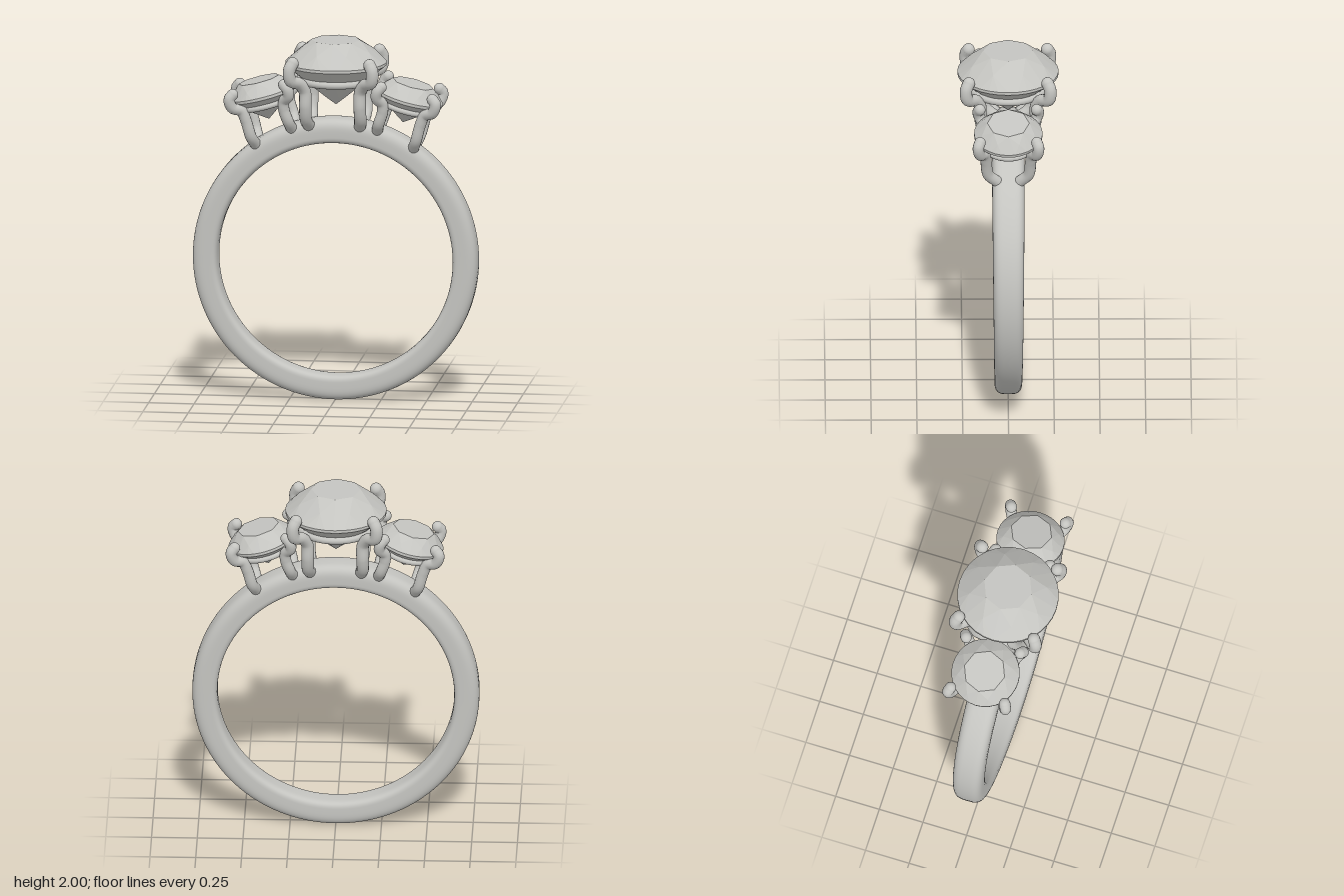
import * as THREE from 'three';
import { mergeVertices } from 'three/addons/utils/BufferGeometryUtils.js';
import { ConvexGeometry } from 'three/addons/geometries/ConvexGeometry.js';

const silver = new THREE.MeshStandardMaterial({ color: 0xc4c4c0 });
silver.name = 'silver';

const RING_Y = 0.785;

function addMesh(parent, name, geometry) {
  const mesh = new THREE.Mesh(geometry, silver);
  mesh.name = name;
  parent.add(mesh);
  return mesh;
}

// Band: a torus squared into a flat-inside, domed-outside section, wider at the top
function bandGeometry() {
  const mid = 0.716, half = 0.069;
  let g = new THREE.TorusGeometry(mid, half, 40, 128);
  const p = g.attributes.position;
  const power = (v, e) => Math.sign(v) * Math.pow(Math.abs(v), e);
  for (let i = 0; i < p.count; i++) {
    const x = p.getX(i), y = p.getY(i), r = Math.hypot(x, y);
    const c = (r - mid) / half, s = p.getZ(i) / half;
    const radius = mid + half * power(c, c > 0 ? 0.8 : 0.4);
    const width = 0.0825 + 0.0075 * (y / r);
    p.setXYZ(i, (x / r) * radius, (y / r) * radius, width * power(s, 0.55));
  }
  g.deleteAttribute('uv');
  g.deleteAttribute('normal');
  g = mergeVertices(g, 1e-5);
  g.computeVertexNormals();
  return g;
}

// Brilliant-cut stone, girdle at y = 0, faceted by its convex hull
function stoneGeometry(radius, table, crown, depth) {
  const points = [];
  const circle = (n, r, y, turn = 0) => {
    for (let i = 0; i < n; i++) {
      const a = ((i + turn) / n) * Math.PI * 2;
      points.push(new THREE.Vector3(r * Math.cos(a), y, r * Math.sin(a)));
    }
  };
  circle(8, table, crown);
  circle(8, table + (radius - table) * 0.55, crown * 0.56, 0.5);
  circle(32, radius, 0.008);
  circle(32, radius, -0.008);
  circle(8, radius * 0.22, -depth * 0.8, 0.5);
  points.push(new THREE.Vector3(0, -depth, 0));
  return new ConvexGeometry(points);
}

// Prong: a bent wire with rounded ends
function addProng(parent, points, r) {
  const prong = new THREE.Group();
  prong.name = 'prong';
  const path = new THREE.CatmullRomCurve3(points, false, 'centripetal');
  addMesh(prong, 'prongWire', new THREE.TubeGeometry(path, 40, r, 14));
  for (const end of [points[0], points[points.length - 1]]) {
    addMesh(prong, 'prongEnd', new THREE.SphereGeometry(r, 16, 12)).position.copy(end);
  }
  parent.add(prong);
}

// Stone and the wire ring under it, sharing one tilt
function addStone(parent, name, x, y, tilt, stone, ringRadius, ringY, wire) {
  const seat = new THREE.Group();
  seat.name = name;
  addMesh(seat, 'stone', stone);
  const ring = addMesh(seat, 'seatRing', new THREE.TorusGeometry(ringRadius, wire, 12, 64));
  ring.rotation.x = Math.PI / 2;
  ring.position.y = ringY;
  seat.position.set(x, y, 0);
  seat.rotation.z = tilt;
  parent.add(seat);
}

export function createModel() {
  const model = new THREE.Group();
  model.name = 'threeStoneRing';

  addMesh(model, 'band', bandGeometry()).position.y = RING_Y;

  // Stones
  addStone(model, 'centreSetting', 0, 1.872, 0,
    stoneGeometry(0.277, 0.135, 0.128, 0.232), 0.198, -0.09, 0.02);
  for (const side of [1, -1]) {
    addStone(model, side > 0 ? 'leftSetting' : 'rightSetting', side * 0.405, 1.69, -side * 0.255,
      stoneGeometry(0.187, 0.115, 0.08, 0.145), 0.142, -0.055, 0.015);
  }

  // Prong paths for one quarter, mirrored to the other three
  const centre = [[0.14, 1.53, 0.065], [0.15, 1.58, 0.125], [0.15, 1.65, 0.15], [0.153, 1.74, 0.153],
    [0.18, 1.785, 0.18], [0.222, 1.81, 0.222], [0.228, 1.87, 0.23], [0.212, 1.905, 0.215]];
  const outer = [[0.435, 1.42, 0.065], [0.455, 1.47, 0.11], [0.48, 1.56, 0.122], [0.505, 1.615, 0.13],
    [0.55, 1.635, 0.155], [0.568, 1.685, 0.165], [0.55, 1.71, 0.155]];
  const inner = [[0.235, 1.51, 0.065], [0.25, 1.56, 0.11], [0.272, 1.63, 0.122], [0.27, 1.675, 0.13],
    [0.243, 1.71, 0.155], [0.248, 1.75, 0.165], [0.268, 1.772, 0.155]];
  for (const sx of [1, -1]) {
    for (const sz of [1, -1]) {
      const mirror = (pts) => pts.map(([x, y, z]) => new THREE.Vector3(sx * x, y, sz * z));
      addProng(model, mirror(centre), 0.034);
      addProng(model, mirror(outer), 0.031);
      addProng(model, mirror(inner), 0.031);
    }
  }
  return model;
}
